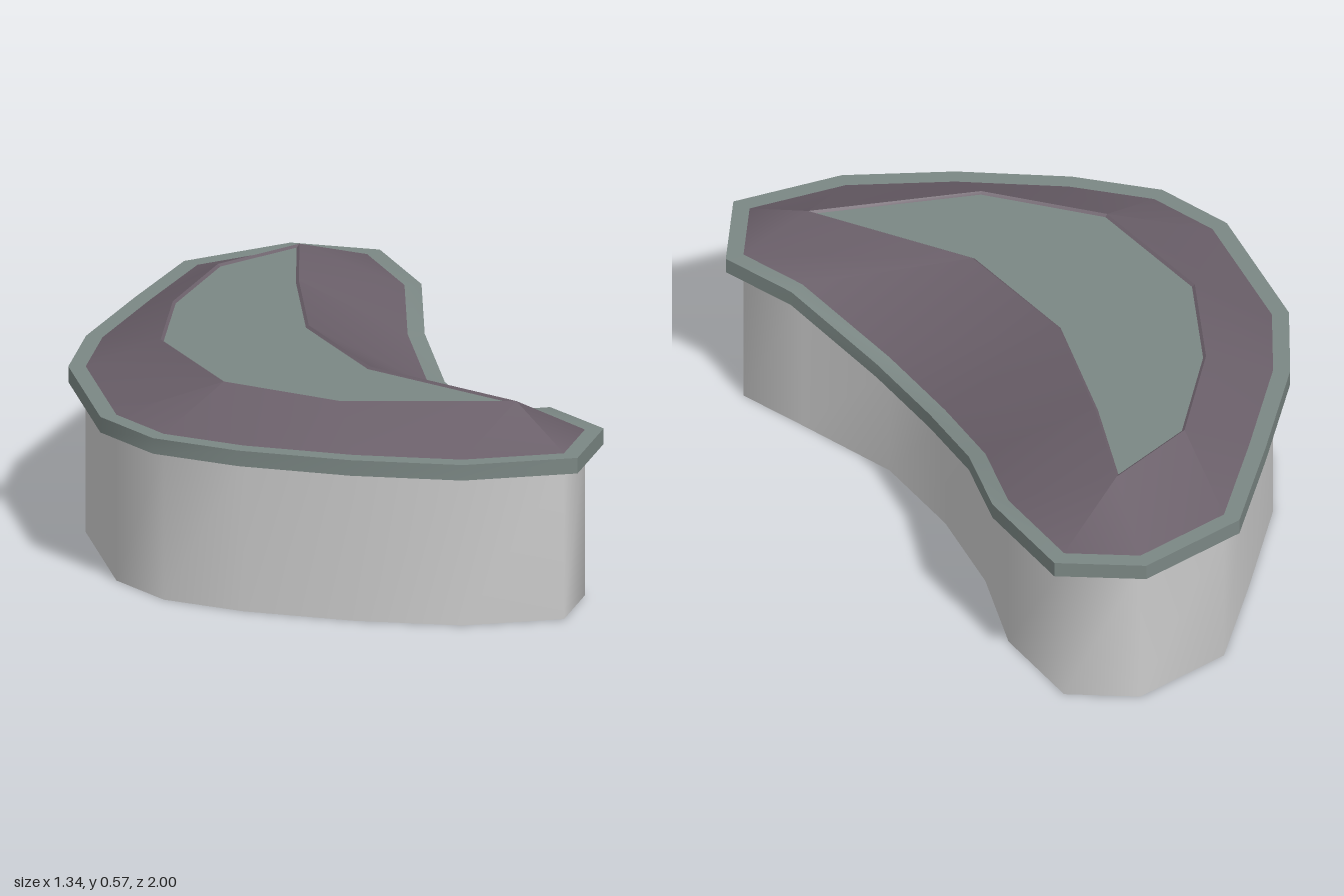
import * as THREE from 'three';
import { toCreasedNormals } from 'three/addons/utils/BufferGeometryUtils.js';

// Bean-shaped outline, [x, z, height of the rim's top edge (dips on the concave side)]
const OUTLINE = [
  [0.14, -0.95, 0.48], [0.33, -0.86, 0.48], [0.378, -0.575, 0.48], [0.33, -0.29, 0.433],
  [0.33, 0, 0.385], [0.378, 0.285, 0.385], [0.52, 0.57, 0.48], [0.617, 0.76, 0.48],
  [0.52, 0.952, 0.48], [0.235, 0.952, 0.48], [-0.05, 0.853, 0.48], [-0.33, 0.713, 0.48],
  [-0.525, 0.57, 0.48], [-0.62, 0.38, 0.48], [-0.62, -0.05, 0.48], [-0.525, -0.29, 0.48],
  [-0.33, -0.59, 0.48], [-0.145, -0.86, 0.48],
];
// Crescent on top, [x, z]
const CRESCENT = [
  [0.11, -0.705], [0.045, -0.39], [-0.005, 0], [0.09, 0.385], [0.425, 0.76],
  [-0.05, 0.665], [-0.33, 0.435], [-0.428, 0.04], [-0.33, -0.28], [-0.145, -0.575],
];
// Crescent corner that each outline corner slopes up to
const LINKS = [0, 0, 1, 1, 2, 3, 3, 4, 4, 4, 5, 6, 6, 6, 7, 8, 9, 9];
const TOP = 0.575;

// Move a closed outline outwards by d with mitred corners
function offset(points, d) {
  const n = points.length;
  const normal = (a, b) => new THREE.Vector2(b[1] - a[1], a[0] - b[0]).normalize();
  return points.map((p, i) => {
    const n1 = normal(points[(i + n - 1) % n], p);
    const n2 = normal(p, points[(i + 1) % n]);
    const m = n1.clone().add(n2).normalize();
    const len = d / Math.max(m.dot(n1), 0.35);
    return [p[0] + m.x * len, p[1] + m.y * len, p[2]];
  });
}

const ring = (points, height) => points.map((p) => [p[0], height(p), p[1]]);

// Skin a series of closed rings that have equal point counts
function loft(rings) {
  const n = rings[0].length;
  const positions = rings.flat(2);
  const index = [];
  const same = (r, i, j) => rings[r][i].every((v, k) => v === rings[r][j][k]);
  for (let r = 0; r < rings.length - 1; r++) {
    for (let i = 0; i < n; i++) {
      const j = (i + 1) % n;
      const a = r * n + i, b = r * n + j, c = b + n, d = a + n;
      index.push(a, d, b);
      if (!same(r + 1, i, j)) index.push(b, d, c);
    }
  }
  const g = new THREE.BufferGeometry();
  g.setAttribute('position', new THREE.Float32BufferAttribute(positions, 3));
  g.setIndex(index);
  g.computeVertexNormals();
  return g;
}

export function createModel() {
  const group = new THREE.Group();
  const material = (color) => new THREE.MeshStandardMaterial({ color, side: THREE.DoubleSide });
  const grey = material(0xcccccc);
  const green = material(0x7b8784);
  const purple = material(0x6a5f69);
  const add = (name, geometry, mat) => {
    const mesh = new THREE.Mesh(geometry, mat);
    mesh.name = name;
    group.add(mesh);
  };

  const rimTop = (p) => p[2];
  const rimBottom = (p) => p[2] - 0.045;
  const outer = offset(OUTLINE, 0.047);

  // Open-bottomed side wall
  add('wall', loft([ring(OUTLINE, () => 0), ring(OUTLINE, rimBottom)]), grey);

  // Overhanging rim that follows the dip
  const rim = loft([
    ring(OUTLINE, rimBottom), ring(outer, rimBottom), ring(outer, rimTop),
    ring(OUTLINE, rimTop), ring(OUTLINE, rimBottom),
  ]);
  add('rim', toCreasedNormals(rim, 0.6), green);

  // Sloping cover from the rim up to the crescent
  const crest = LINKS.map((i) => CRESCENT[i]);
  add('slopingCover', loft([ring(OUTLINE, rimTop), ring(crest, () => TOP)]), purple);

  // Narrow lip stepping down to the crescent panel
  const inset = offset(CRESCENT, -0.008);
  add('panelLip', toCreasedNormals(
    loft([ring(CRESCENT, () => TOP), ring(inset, () => TOP - 0.006)]), 0.3), purple);

  // Flat crescent panel
  const shape = new THREE.Shape(inset.map(([x, z]) => new THREE.Vector2(x, -z)));
  const panel = new THREE.ShapeGeometry(shape).rotateX(-Math.PI / 2).translate(0, TOP - 0.006, 0);
  add('crescentPanel', panel, green);

  return group;
}
